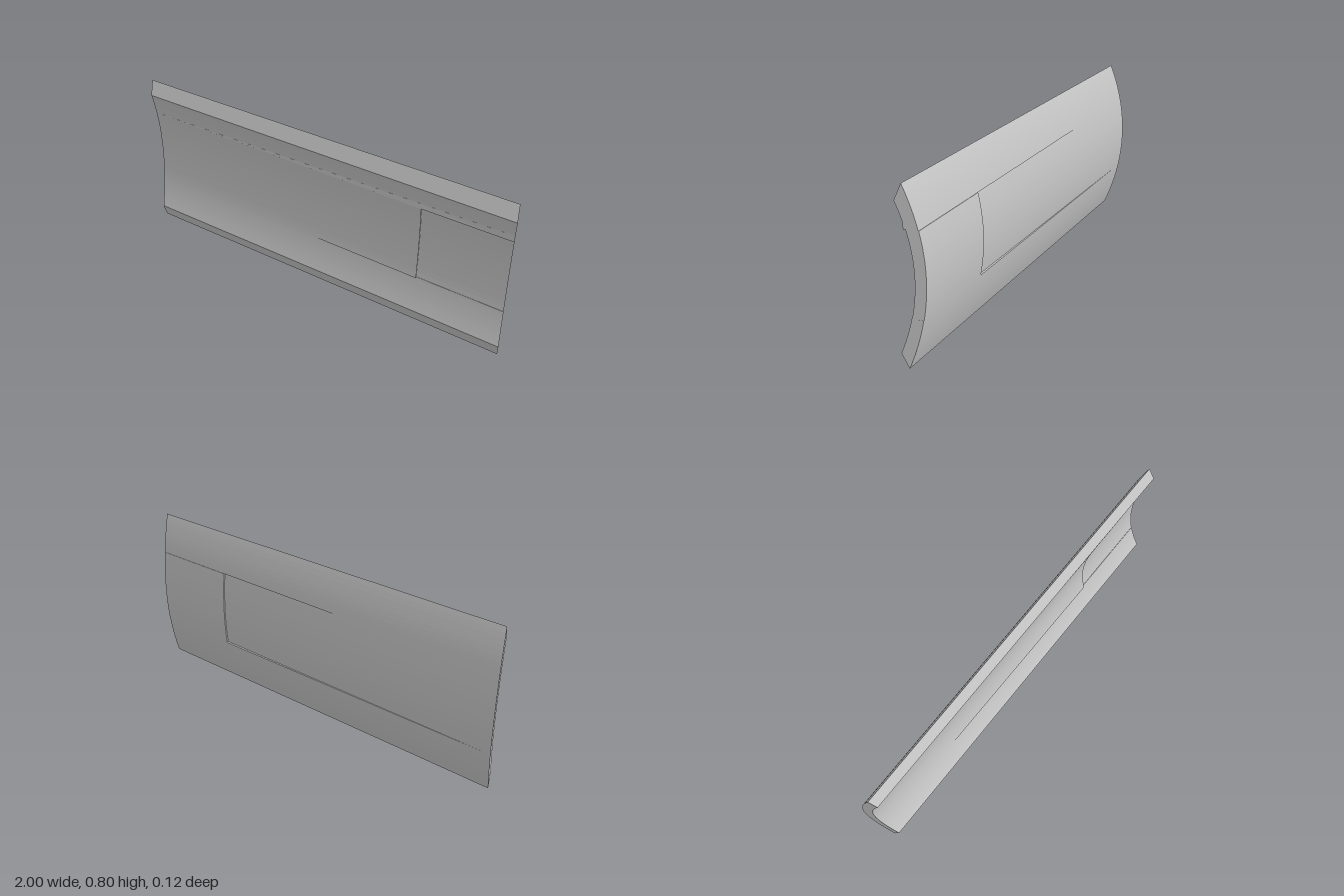
import * as THREE from 'three';

const SLANT = 0.37; // the ends are cut at a slant: x grows with z
const tilt = (x) => 0.0065 * (1 - x); // slight twist in plan along the length

// Curves of the back (outer) and front (inner) surfaces, z as a function of y
const backZ = (y) => {
  const u = (y - 0.4) / 0.4;
  return -0.061 + 0.076 * u * u - 0.004 * u;
};
const frontZ = (y) => {
  const u = (y - 0.4) / 0.33;
  return -0.018 + 0.062 * u * u - 0.0035 * u;
};

// Solid between two cross-sections; section(x) lists [backZ, backY, frontZ, frontY] from bottom to top
function sweep(name, x0, x1, section, material) {
  const rings = [x0, x1].map((x) => {
    const rows = section(x);
    const point = (z, y) => [x + SLANT * z, y, z];
    return [
      ...rows.map((r) => point(r[0], r[1])),
      ...rows.slice().reverse().map((r) => point(r[2], r[3])),
    ];
  });
  const [a, b] = rings;
  const n = a.length;
  const pos = [];
  const quad = (p, q, r, s) => pos.push(...p, ...q, ...r, ...p, ...r, ...s);
  for (let i = 0; i < n; i++) {
    const j = (i + 1) % n;
    quad(a[i], a[j], b[j], b[i]);
  }
  for (let i = 0; i < n / 2 - 1; i++) {
    const o = n - 1 - i;
    quad(b[i], b[i + 1], b[o - 1], b[o]);
    quad(a[i], a[o], a[o - 1], a[i + 1]);
  }
  const geometry = new THREE.BufferGeometry();
  geometry.setAttribute('position', new THREE.Float32BufferAttribute(pos, 3));
  geometry.computeVertexNormals();
  const mesh = new THREE.Mesh(geometry, material);
  mesh.name = name;
  return mesh;
}

// Curved strip between two heights, with an extra z shift along x
function strip(backY, frontY, count, shift) {
  return (x) => {
    const rows = [];
    for (let i = 0; i <= count; i++) {
      const yb = THREE.MathUtils.lerp(backY[0], backY[1], i / count);
      const yf = THREE.MathUtils.lerp(frontY[0], frontY[1], i / count);
      const dz = tilt(x) + shift(x);
      rows.push([backZ(yb) + dz, yb, frontZ(yf) + dz, yf]);
    }
    return rows;
  };
}

export function createModel() {
  const group = new THREE.Group();
  group.name = 'curvedPanel';
  const grey = new THREE.MeshStandardMaterial({ color: 0xc8c8c8 });
  grey.name = 'light grey';

  const END = 0.98;
  const STEP = 0.55;
  const raise = (x) => (0.009 * (x + END)) / (STEP + END);
  const none = () => 0;

  // Lower and upper rails run the full length
  group.add(sweep('lowerRail', -END, END, strip([0, 0.225], [0.07, 0.23], 10, none), grey));
  group.add(sweep('upperRail', -END, END, strip([0.61, 0.8], [0.614, 0.73], 8, none), grey));

  // Middle plate rises gradually towards the step, then drops to the end patch
  const middle = [[0.225, 0.61], [0.23, 0.614]];
  group.add(sweep('middlePlate', -END, STEP, strip(...middle, 16, raise), grey));
  group.add(sweep('endPatch', STEP, END, strip(...middle, 16, () => -0.0015), grey));

  // Tapering ledge between the middle plate and the upper rail
  const ledge = (x) => {
    const top = 0.6145 + 0.031 * ((x + END) / (2 * END));
    const height = x > STEP ? 0.007 : raise(x);
    const z0 = frontZ(0.614) + tilt(x);
    const z1 = frontZ(top) + tilt(x);
    return [
      [z0 - 0.002, 0.614, z0 + height, 0.614],
      [z1 - 0.002, top, z1 + 0.0003, top],
    ];
  };
  group.add(sweep('taperedLedge', -END, STEP, ledge, grey));
  group.add(sweep('taperedLedgeEnd', STEP, END, ledge, grey));

  return group;
}
